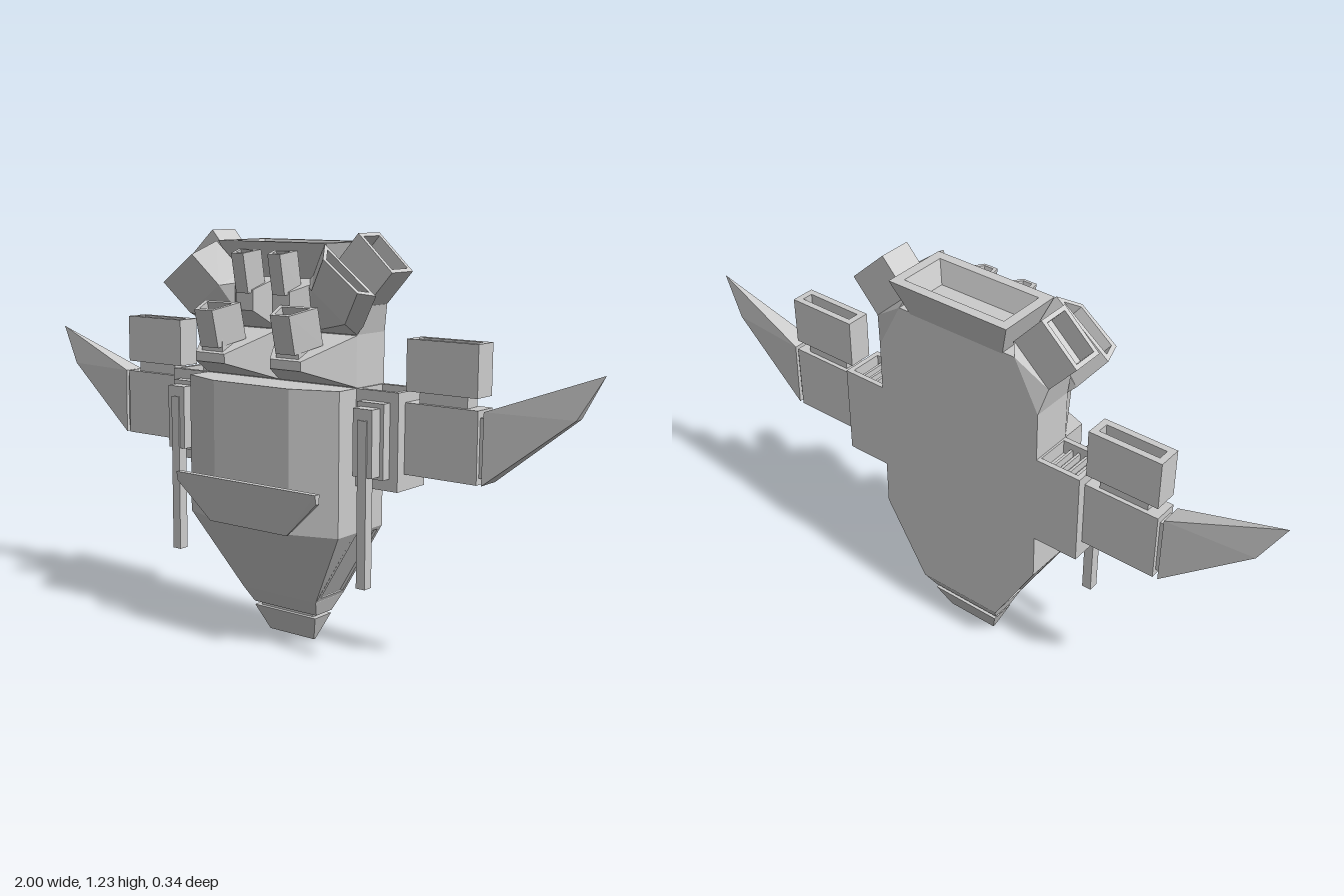
import * as THREE from 'three';
import { ConvexGeometry } from 'three/addons/geometries/ConvexGeometry.js';

const mat = new THREE.MeshStandardMaterial({ color: 0xcccccc, flatShading: true });
const V = (x, y, z) => new THREE.Vector3(x, y, z);
const BACK = -0.135, MID = -0.07;

// Convex solid through a few corner points
const hull = (pts) => new ConvexGeometry(pts.map((p) => V(...p)));

// Four corners of a rectangle at one depth z
const rectZ = (x0, x1, y0, y1, z) => [[x0, y0, z], [x1, y0, z], [x1, y1, z], [x0, y1, z]];
// Four corners of a rectangle at one height y
const rectY = (x0, x1, z0, z1, y) => [[x0, y, z0], [x1, y, z0], [x1, y, z1], [x0, y, z1]];

const box = (x0, x1, y0, y1, z0, z1) =>
  new THREE.BoxGeometry(x1 - x0, y1 - y0, z1 - z0).translate((x0 + x1) / 2, (y0 + y1) / 2, (z0 + z1) / 2);

// Closed skin over matching cross-sections, turned outward by its signed volume
function loft(rings) {
  const tris = [], n = rings[0].length;
  for (let r = 0; r < rings.length - 1; r++) {
    for (let i = 0; i < n; i++) {
      const j = (i + 1) % n, A = rings[r], B = rings[r + 1];
      tris.push([A[i], A[j], B[j]], [A[i], B[j], B[i]]);
    }
  }
  const first = rings[0], last = rings[rings.length - 1];
  for (let i = 1; i < n - 1; i++) {
    tris.push([first[0], first[i + 1], first[i]], [last[0], last[i], last[i + 1]]);
  }
  const volume = tris.reduce((s, [a, b, c]) => s + a.dot(b.clone().cross(c)), 0);
  const pts = tris.flatMap(([a, b, c]) => (volume < 0 ? [a, c, b] : [a, b, c]));
  const geo = new THREE.BufferGeometry().setFromPoints(pts);
  geo.computeVertexNormals();
  return geo;
}

// Hollow housing: outer walls, rim and a sunken floor
function cup(bottom, top, rim, depth) {
  const b = bottom.map((p) => V(...p)), t = top.map((p) => V(...p));
  const inset = (ring) => ring.map((p, i) => {
    const toNext = ring[(i + 1) % 4].clone().sub(p).normalize();
    const toPrev = ring[(i + 3) % 4].clone().sub(p).normalize();
    return p.clone().addScaledVector(toNext, rim).addScaledVector(toPrev, rim);
  });
  const mouth = inset(t), base = inset(b);
  return loft([b, t, mouth, mouth.map((p, i) => p.clone().lerp(base[i], depth))]);
}

// Mirror across x and restore the corner order
function mirrored(geo) {
  const g = geo.index ? geo.toNonIndexed() : geo.clone();
  g.scale(-1, 1, 1);
  const p = g.attributes.position;
  for (let i = 0; i < p.count; i += 3) {
    const b = V().fromBufferAttribute(p, i + 1), c = V().fromBufferAttribute(p, i + 2);
    p.setXYZ(i + 1, c.x, c.y, c.z);
    p.setXYZ(i + 2, b.x, b.y, b.z);
  }
  g.computeVertexNormals();
  return g;
}

export function createModel() {
  const model = new THREE.Group();
  model.name = 'spacecraft';
  const add = (name, geo) => {
    const mesh = new THREE.Mesh(geo, mat);
    mesh.name = name;
    model.add(mesh);
  };
  const pair = (name, geo) => {
    add(name + 'Left', geo);
    add(name + 'Right', mirrored(geo));
  };
  const bothSides = (pts) => pts.flatMap(([x, y, z]) => [[x, y, z], [-x, y, z]]);

  // Flat rear hull, slightly narrowed where the lower side frames sit
  const outline = [[0.14, 0.14], [0.14, 0.155], [0.268, 0.37], [0.28, 0.375], [0.28, 0.945], [0.2, 1.095]];
  const shape = new THREE.Shape([...outline, ...outline.map(([x, y]) => [-x, y]).reverse()]
    .map(([x, y]) => new THREE.Vector2(x, y)));
  add('rearHull', new THREE.ExtrudeGeometry(shape, { depth: -BACK, bevelEnabled: false }).translate(0, 0, BACK));

  // Lower side frames around sunken panels
  const slope = (z, inX) => [[0.142 - inX, 0.142, z], [0.28 - inX, 0.375, z]];
  const frameBottom = [...slope(BACK, 0.03), ...slope(0, 0.03).reverse()];
  const frameTop = [...slope(BACK, 0), ...slope(0, 0).reverse()];
  pair('sideFrame', cup(frameBottom, frameTop, 0.013, 0.4));

  // Front hull with bevelled corners and a tapering chin
  const section = (y) => bothSides([[0.28, y, 0], [0.28, y, 0.08], [0.14, y, 0.13]]);
  add('frontHull', hull([...section(0.375), ...section(0.795)]));
  add('chin', hull([...section(0.375), ...bothSides([[0.14, 0.14, 0], [0.14, 0.17, 0.012]]), [0, 0.14, 0.002]]));

  // Nose
  add('noseBase', hull([...rectY(-0.14, 0.14, BACK, 0, 0.14), ...rectY(-0.12, 0.12, -0.105, -0.03, 0.09)]));
  add('noseNeck', box(-0.1, 0.1, 0.07, 0.1, -0.095, -0.04));
  add('noseTip', hull([...rectY(-0.117, 0.117, -0.107, -0.028, 0.08), ...rectY(-0.085, 0.085, -0.071, -0.064, 0)]));

  // Front deflector plate and its mount
  add('deflector', hull(bothSides([
    [0.262, 0.513, 0.145], [0.262, 0.513, 0.165], [0.262, 0.485, 0.145], [0.262, 0.485, 0.16],
    [0.145, 0.375, 0.138], [0.145, 0.375, 0.145]])));
  add('deflectorMount', box(-0.14, 0.14, 0.39, 0.49, 0.12, 0.146));

  // Top intake trough
  add('topIntake', cup(rectY(-0.16, 0.16, BACK, 0, 1.09), rectY(-0.2, 0.2, -0.172, 0.038, 1.197), 0.03, 0.6));

  // Lower front turrets
  pair('turretArm', hull([
    ...rectZ(0, 0.28, 0.797, 0.943, 0), ...rectZ(0.075, 0.205, 0.83, 0.903, 0.06),
    ...rectZ(0.085, 0.195, 0.85, 0.877, 0.145)]));
  pair('turretNeck', box(0.1, 0.18, 0.86, 0.925, 0.08, 0.135));
  pair('turret', cup(
    [[0.073, 0.916, 0.062], [0.209, 0.916, 0.062], [0.175, 0.893, 0.146], [0.107, 0.893, 0.146]],
    [[0.073, 1.023, 0.087], [0.209, 1.023, 0.087], [0.175, 1.003, 0.172], [0.107, 1.003, 0.172]], 0.014, 0.5));

  // Upper front turrets
  pair('upperArm', hull([...rectZ(0, 0.17, 0.945, 1.095, 0), ...rectZ(0.035, 0.1, 1.0, 1.06, 0.075)]));
  pair('upperTurret', cup(
    [[0.025, 1.06, 0.03], [0.108, 1.06, 0.03], [0.09, 1.05, 0.085], [0.045, 1.05, 0.085]],
    [[0.025, 1.175, 0.05], [0.108, 1.175, 0.05], [0.09, 1.165, 0.107], [0.045, 1.165, 0.107]], 0.012, 0.5));

  // Slanted front thrusters
  const mouth = [[0.2, 1.195, 0.045], [0.375, 1.06, 0.045], [0.358, 1.07, 0.108], [0.242, 1.157, 0.108]];
  const root = mouth.map(([x, y, z]) => [x - 0.07, y - 0.09, z - 0.04]);
  pair('frontThruster', cup(root, mouth, 0.014, 0.4));
  pair('frontThrusterRoot', hull([...root, [0.28, 0.945, 0], [0.2, 1.095, 0], [0.12, 0.945, 0], [0.1, 1.08, 0]]));

  // Shoulder thrusters on the upper corners
  const end = [[0.27, 1.225], [0.385, 1.12]];
  const face = (dx, dy) => [
    ...end.map(([x, y]) => [x - dx, y - dy, -0.117]),
    ...end.map(([x, y]) => [x - dx, y - dy, -0.015]).reverse()];
  pair('shoulderThruster', cup(face(0.09, 0.1), face(0, 0), 0.013, 0.45));
  pair('shoulderRoot', hull([
    ...face(0.085, 0.095), [0.28, 0.945, 0], [0.28, 0.945, BACK], [0.2, 1.095, 0], [0.2, 1.095, BACK]]));

  // Wing mounts, hollow at both ends
  const mount = (y) => rectY(0.27, 0.423, BACK, 0, y);
  pair('wingMountTop', cup(mount(0.655), mount(0.795), 0.016, 0.3));
  pair('wingMountBottom', cup(mount(0.655), mount(0.515), 0.016, 0.5));
  for (let i = 0; i < 4; i++) {
    const x = 0.31 + i * 0.025;
    pair('mountVent' + (i + 1), box(x, x + 0.008, 0.74, 0.775, BACK + 0.016, -0.016));
  }

  // Inner wing and the open pod above it
  pair('innerWing', box(0.42, 0.655, 0.562, 0.765, -0.108, -0.033));
  pair('wingHinge', box(0.65, 0.675, 0.58, 0.745, -0.095, -0.045));
  pair('podNeck', box(0.462, 0.615, 0.76, 0.805, -0.095, -0.045));
  pair('pod', cup(rectY(0.425, 0.652, -0.108, -0.033, 0.797), rectY(0.425, 0.652, -0.108, -0.033, 0.942), 0.02, 0.4));

  // Swept wing tips
  pair('wingTip', hull([
    ...[-0.037, 0.037].flatMap((d) => [[0.67, 0.562, MID + d], [0.67, 0.763, MID + d * 0.9], [0.93, 0.765, MID + d * 0.4]]),
    [1, 0.885, MID]]));

  // Side cannons
  pair('cannonPlate', box(0.305, 0.395, 0.55, 0.765, -0.01, 0.03));
  pair('cannonBody', box(0.318, 0.383, 0.56, 0.752, 0.03, 0.068));
  pair('cannonBarrel', box(0.337, 0.367, 0.24, 0.72, 0.04, 0.072));

  return model;
}
